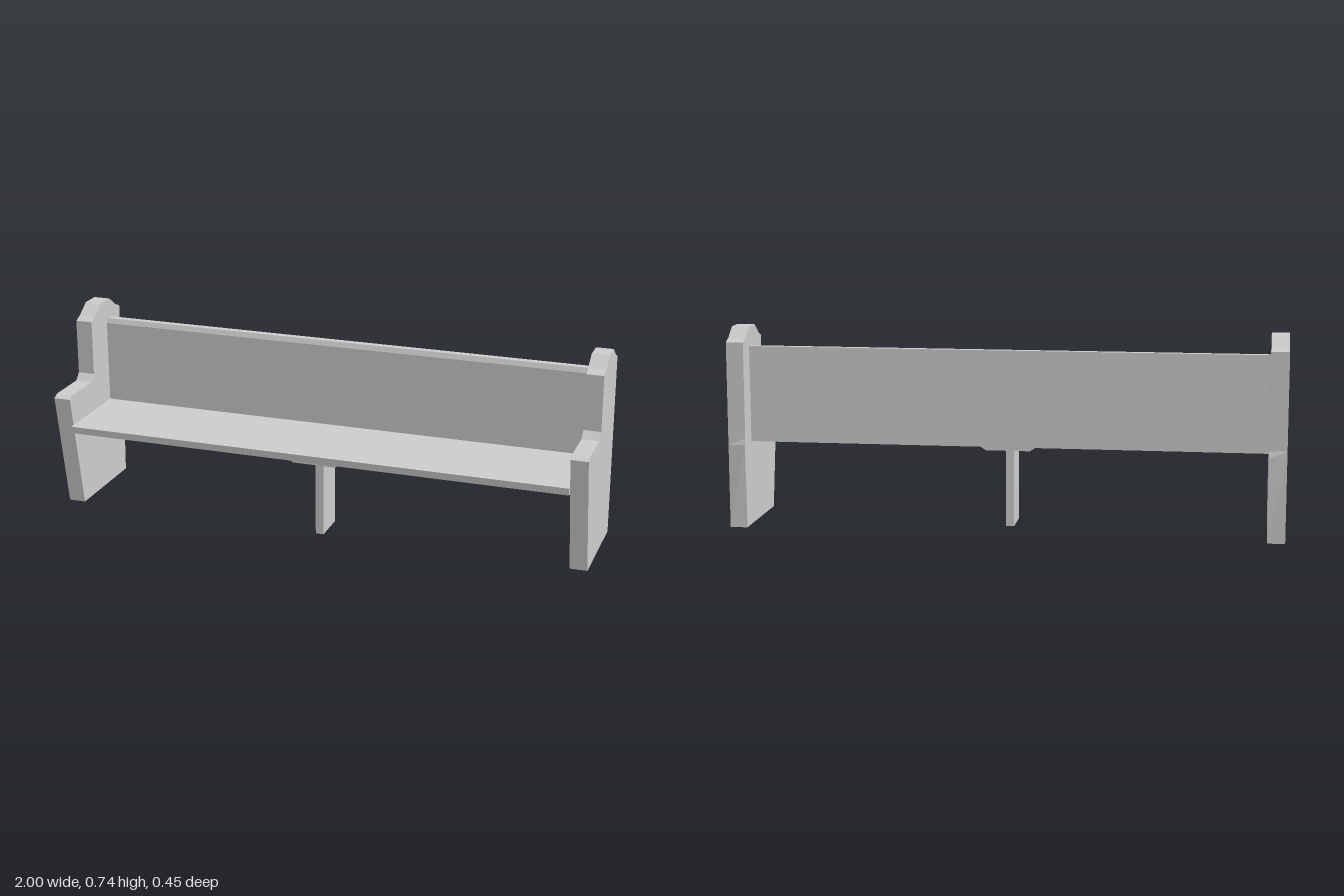
import * as THREE from 'three';

const material = new THREE.MeshStandardMaterial({ color: 0xcccccc, flatShading: true });

// Extrude a (z, y) profile along x, from x0 to x1
function extrudeAlongX(profile, x0, x1) {
  const shape = new THREE.Shape(profile.map(([z, y]) => new THREE.Vector2(-z, y)));
  const geometry = new THREE.ExtrudeGeometry(shape, { depth: x1 - x0, bevelEnabled: false });
  return geometry.rotateY(Math.PI / 2).translate(x0, 0, 0);
}

function addPart(group, name, geometry) {
  const mesh = new THREE.Mesh(geometry, material);
  mesh.name = name;
  group.add(mesh);
  return mesh;
}

export function createModel() {
  const bench = new THREE.Group();
  bench.name = 'bench';

  // End panels with stepped armrest and peaked top
  const panelProfile = [
    [0.147, 0.013], [0.228, 0.45], [0.205, 0.461], [0.047, 0.461],
    [0.022, 0.486], [0.022, 0.69], [-0.01, 0.703], [-0.063, 0.739],
    [-0.137, 0.739], [-0.187, 0.703], [-0.22, 0.69], [-0.22, 0.342],
    [-0.22, 0.318], [-0.22, 0.04], [-0.22, 0.013],
  ];
  for (const side of [-1, 1]) {
    const inner = 0.937;
    const geometry = side > 0
      ? extrudeAlongX(panelProfile, inner, 1)
      : extrudeAlongX(panelProfile, -1, -inner);
    // Slight swell of the inner rear edge at seat height
    const p = geometry.attributes.position;
    for (let i = 0; i < p.count; i++) {
      const onInnerFace = Math.abs(p.getX(i)) < 0.95;
      if (onInnerFace && p.getZ(i) < -0.21 && Math.abs(p.getY(i) - 0.318) < 0.002) p.setZ(i, -0.227);
    }
    geometry.computeVertexNormals();
    addPart(bench, side > 0 ? 'leftEndPanel' : 'rightEndPanel', geometry);
  }

  // Seat plank with a raked front edge
  addPart(bench, 'seat', extrudeAlongX(
    [[-0.107, 0.318], [0.223, 0.318], [0.228, 0.345], [-0.107, 0.345]], -0.937, 0.937));

  // Backrest board with a chamfered top front edge
  addPart(bench, 'backrest', extrudeAlongX(
    [[-0.14, 0.318], [-0.107, 0.318], [-0.107, 0.65], [-0.115, 0.668], [-0.14, 0.668]], -0.937, 0.937));

  // Centre support: tapered bracket under the seat
  const bracketShape = new THREE.Shape([
    new THREE.Vector2(-0.08, 0.293), new THREE.Vector2(0.08, 0.293),
    new THREE.Vector2(0.12, 0.318), new THREE.Vector2(-0.12, 0.318),
  ]);
  const bracket = new THREE.ExtrudeGeometry(bracketShape, { depth: 0.25, bevelEnabled: false });
  addPart(bench, 'supportBracket', bracket.translate(0, 0, -0.073));

  // Centre leg
  addPart(bench, 'centreLeg', new THREE.BoxGeometry(0.03, 0.294, 0.13).translate(0, 0.147, 0.052));

  return bench;
}
